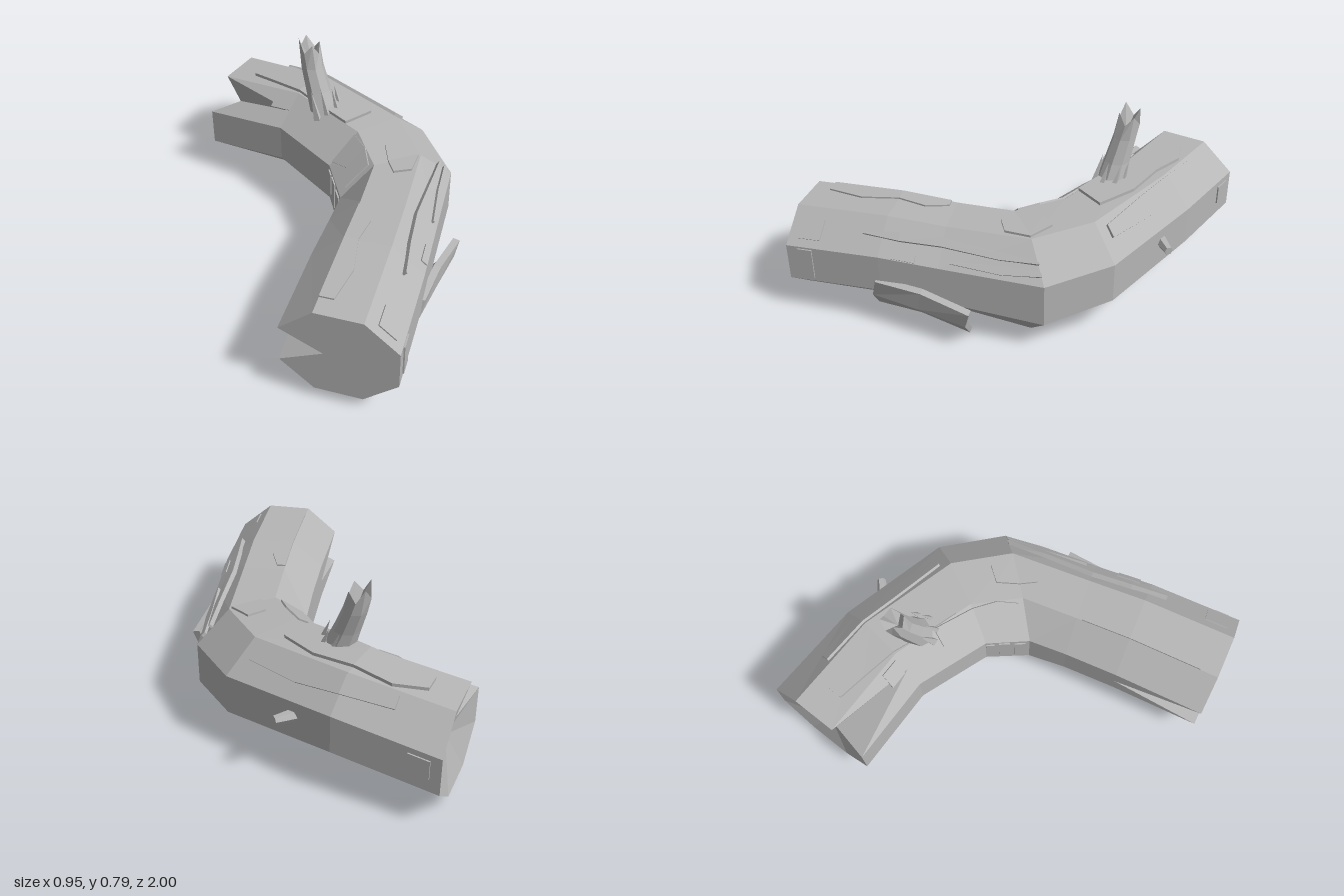
import * as THREE from 'three';

const wood = new THREE.MeshStandardMaterial({ color: 0xb6b6b6, flatShading: true });
wood.name = 'grey wood';
const V = (x, y, z) => new THREE.Vector3(x, y, z);
const mix = (a, b, t) => a.clone().lerp(b, t);

// Mesh from a flat list of triangle corners
function mesh(name, pts) {
  const g = new THREE.BufferGeometry().setFromPoints(pts);
  g.computeVertexNormals();
  const m = new THREE.Mesh(g, wood);
  m.name = name;
  return m;
}

// Closed slab between an outer and an inner grid of points
function slab(name, O, I) {
  const t = [], m = O.length - 1, n = O[0].length - 1;
  for (let i = 0; i < m; i++) for (let j = 0; j < n; j++) {
    t.push(O[i][j], O[i + 1][j], O[i + 1][j + 1], O[i][j], O[i + 1][j + 1], O[i][j + 1]);
    t.push(I[i][j], I[i + 1][j + 1], I[i + 1][j], I[i][j], I[i][j + 1], I[i + 1][j + 1]);
  }
  const loop = [];
  for (let i = 0; i < m; i++) loop.push([i, 0]);
  for (let j = 0; j < n; j++) loop.push([m, j]);
  for (let i = m; i > 0; i--) loop.push([i, n]);
  for (let j = n; j > 0; j--) loop.push([0, j]);
  loop.forEach(([a, b], k) => {
    const [c, d] = loop[(k + 1) % loop.length];
    t.push(O[c][d], O[a][b], I[a][b], O[c][d], I[a][b], I[c][d]);
  });
  return mesh(name, t);
}

// Trunk stations, front to back: outer x,z / inner x,z / bottom, top
const stations = [
  [-0.10, 1.00, -0.48, 0.74, 0.05, 0.447],
  [0.12, 0.66, -0.26, 0.42, 0.068, 0.465],
  [0.25, 0.44, -0.13, 0.23, 0.052, 0.455],
  [0.47, 0.07, -0.04, 0.09, 0.00, 0.455],
  [0.45, -0.23, -0.03, -0.10, 0.05, 0.475],
  [0.20, -0.66, -0.17, -0.40, 0.09, 0.495],
  [-0.08, -1.00, -0.43, -0.68, 0.05, 0.455],
];
const centres = stations.map(([a, b, c, d, lo, hi]) => V((a + c) / 2, (lo + hi) / 2, (b + d) / 2));
const rings = stations.map(([a, b, c, d, lo, hi], i) =>
  Array.from({ length: 8 }, (_, k) => {
    const th = Math.PI / 8 + k * Math.PI / 4, s = 1 / Math.cos(Math.PI / 8);
    return centres[i].clone()
      .addScaledVector(V((a - c) / 2, 0, (b - d) / 2), Math.cos(th) * s)
      .add(V(0, (hi - lo) / 2 * Math.sin(th) * s, 0));
  }));

// Eight-sided trunk with a split wedge at each end
function trunk() {
  const t = [], last = rings.length - 1;
  const F = rings[0], B = rings[last];
  const vF = mix(centres[0], mix(F[3], F[4], 0.5), 0.25);
  const cB = mix(centres[last], centres[last - 1], 0.14);
  const vB = mix(cB, mix(B[2], B[3], 0.5), 0.35);
  for (let i = 0; i < last; i++) for (let k = 0; k < 8; k++) {
    const n = (k + 1) % 8;
    const a0 = rings[i][k], b0 = rings[i][n], a1 = rings[i + 1][k], b1 = rings[i + 1][n];
    if (i === 0 && k === 3) {
      const m = mix(a1, b1, 0.5);
      t.push(a0, a1, m, m, b1, b0, a0, m, vF, m, b0, vF);
    } else if (i === last - 1 && k === 2) {
      const m = mix(a0, b0, 0.5);
      t.push(a0, a1, m, m, b1, b0, m, a1, vB, b1, m, vB);
    } else t.push(a0, a1, b1, a0, b1, b0);
  }
  for (let k = 0; k < 8; k++) {
    const n = (k + 1) % 8;
    if (k === 3) t.push(centres[0], F[k], vF, centres[0], vF, F[n]);
    else t.push(centres[0], F[k], F[n]);
    if (k === 2) t.push(cB, vB, B[k], cB, B[n], vB);
    else t.push(cB, B[n], B[k]);
  }
  return mesh('trunk', t);
}

// Point on trunk facet k at station t, fraction v across
function surf(k, t, v) {
  const i = Math.min(Math.floor(t), rings.length - 2), f = t - i, n = (k + 1) % 8;
  return mix(mix(rings[i][k], rings[i + 1][k], f), mix(rings[i][n], rings[i + 1][n], f), v);
}

// Thin bark sheet lying on a facet; rows are [station, from, to]
function bark(k, lift, rows) {
  const O = [], I = [];
  for (const [t, v0, v1] of rows) {
    const u = Math.min(t, 5.98);
    const d = surf(k, u + 0.01, 0.5).sub(surf(k, u, 0.5));
    const nrm = d.cross(surf(k, u, 1).sub(surf(k, u, 0))).normalize();
    O.push([v0, v1].map(v => surf(k, t, v).addScaledVector(nrm, lift)));
    I.push([v0, v1].map(v => surf(k, t, v).addScaledVector(nrm, -0.012)));
  }
  return slab('barkSheet', O, I);
}

// Broken hollow branch with a jagged rim
function branch() {
  const N = 8, rim = [0.76, 0.72, 0.775, 0.73, 0.79, 0.73, 0.77, 0.72];
  const levels = [[0.035, 0.44, -0.36, 0.07], [0.01, 0.56, -0.40, 0.056],
    [-0.005, 0.66, -0.435, 0.05], [-0.012, 0.75, -0.455, 0.047]];
  const P = levels.map(([x, y, z, r], i) => Array.from({ length: N }, (_, k) => {
    const a = k * Math.PI * 2 / N;
    return V(x + r * Math.cos(a), i === 3 ? rim[k] : y, z - r * Math.sin(a));
  }));
  const t = [], hollow = V(-0.008, 0.67, -0.44);
  for (let k = 0; k < N; k++) {
    const n = (k + 1) % N;
    for (let i = 0; i < 3; i++)
      t.push(P[i][k], P[i][n], P[i + 1][n], P[i][k], P[i + 1][n], P[i + 1][k]);
    t.push(P[3][k], P[3][n], hollow);
  }
  return mesh('brokenBranch', t);
}

export function createModel() {
  const g = new THREE.Group();
  g.name = 'fallenLog';
  g.add(trunk(), branch());

  // Splinters around the foot of the branch
  for (let k = 0; k < 7; k++) {
    const a = k * 0.9, s = new THREE.Mesh(new THREE.ConeGeometry(0.022, 0.13 + 0.03 * (k % 3), 4), wood);
    s.position.set(0.03 + 0.06 * Math.cos(a), 0.505, -0.365 + 0.06 * Math.sin(a));
    s.rotation.set(-0.35, 0, 0.15);
    s.name = 'splinter';
    g.add(s);
  }

  // Large loose bark slab peeling away from the outer side
  const O = [
    [V(0.035, 0.06, 0.66), V(0.095, 0.15, 0.69), V(0.12, 0.23, 0.68)],
    [V(0.14, 0.045, 0.50), V(0.235, 0.14, 0.53), V(0.25, 0.228, 0.52)],
    [V(0.285, 0.01, 0.33), V(0.375, 0.12, 0.37), V(0.40, 0.195, 0.36)],
  ];
  const I = O.map(r => r.map(p => p.clone().add(V(-0.024, 0.006, -0.016))));
  g.add(slab('looseBark', O, I));

  // Long raised bark ridges on the outer shoulder
  g.add(bark(0, 0.022, [[0.8, 0.5, 0.54], [1.3, 0.45, 0.66], [2, 0.5, 0.72], [2.6, 0.42, 0.6], [3, 0.45, 0.5]]));
  g.add(bark(0, 0.014, [[2.1, 0.15, 0.2], [2.6, 0.1, 0.3], [3, 0.2, 0.3]]));
  g.add(bark(0, 0.012, [[4.1, 0.5, 0.8], [4.6, 0.4, 0.9], [5, 0.5, 0.95], [5.5, 0.6, 0.9]]));

  // Ragged sheets along the top and inner shoulder
  g.add(bark(1, 0.007, [[0.2, 0.7, 1], [0.6, 0.55, 1], [1, 0.7, 1], [1.5, 0.6, 1], [1.9, 0.8, 1]]));
  g.add(bark(1, 0.01, [[2.7, 0.1, 0.5], [3, 0.05, 0.7], [3.4, 0.2, 0.6]]));
  g.add(bark(1, 0.014, [[4.2, 0.3, 1], [4.6, 0.1, 1], [5, 0.2, 0.95], [5.4, 0.05, 0.8], [5.7, 0.3, 0.7]]));
  g.add(bark(2, 0.008, [[3.1, 0.1, 0.8], [3.5, 0, 0.6], [4, 0.1, 0.9], [4.5, 0, 0.5]]));

  // Small square bark flakes
  for (const [k, t0, t1, a, b] of [
    [7, 0.12, 0.28, 0.1, 0.95], [7, 5.7, 5.9, 0.35, 0.85], [0, 0.1, 0.35, 0.2, 0.7],
    [0, 1.2, 1.6, 0.02, 0.2], [3, 3.1, 3.35, 0.1, 0.8], [3, 3.45, 3.7, 0.05, 0.75],
    [3, 3.8, 3.98, 0.1, 0.7], [2, 5.05, 5.25, 0.1, 0.5],
  ]) g.add(bark(k, 0.006, [[t0, a, b], [t1, a, b]]));

  // Little twig stub on the outer side
  const twig = new THREE.Mesh(new THREE.CylinderGeometry(0.018, 0.028, 0.1, 6), wood);
  twig.position.set(0.31, 0.3, -0.505);
  twig.rotation.z = -Math.PI / 2;
  twig.name = 'twigStub';
  g.add(twig);
  return g;
}
